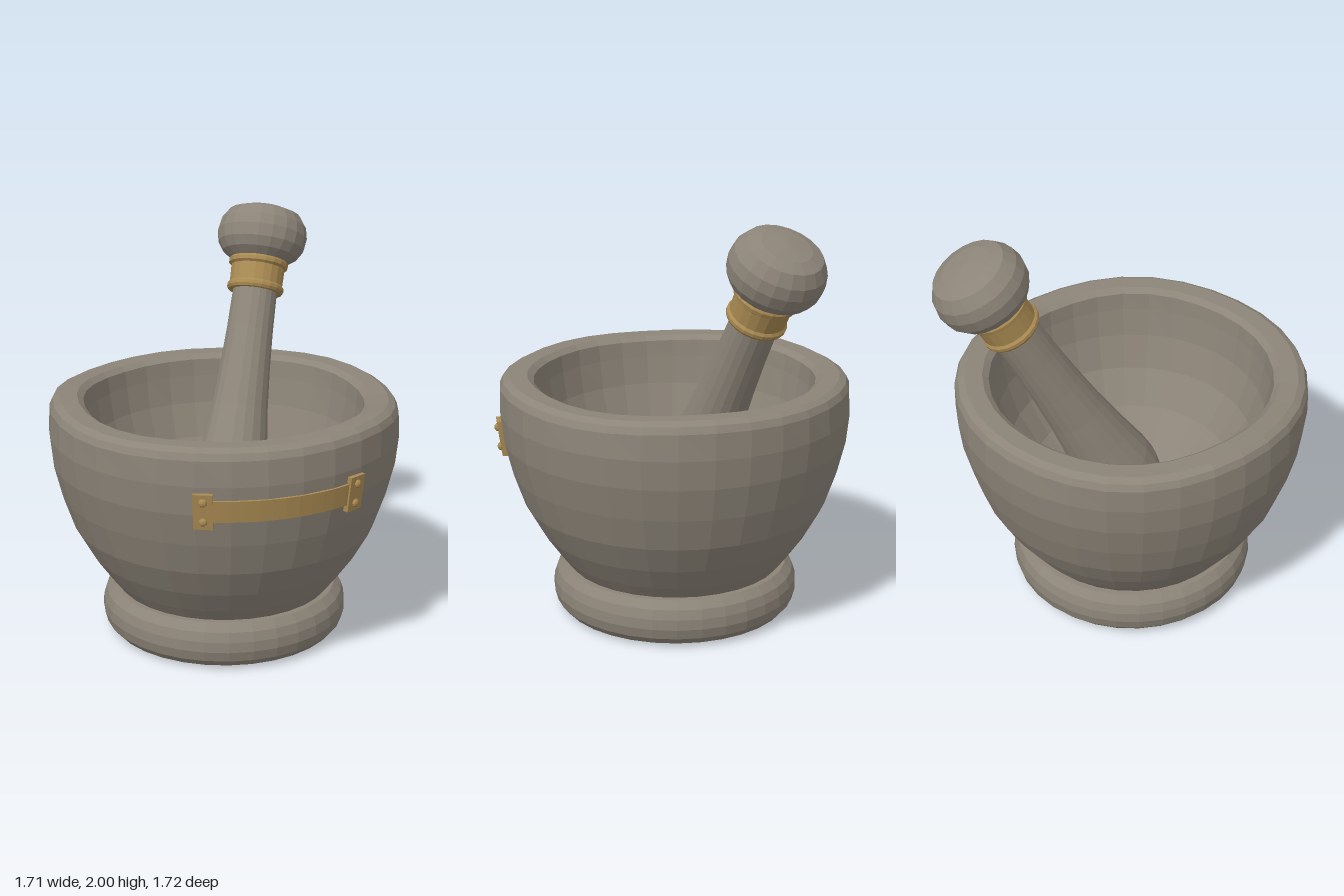
import * as THREE from 'three';

const stone = new THREE.MeshStandardMaterial({ color: 0x8c8478, flatShading: true });
const brass = new THREE.MeshStandardMaterial({ color: 0xa98a52, flatShading: true });

function addMesh(parent, name, geometry, material) {
  const mesh = new THREE.Mesh(geometry, material);
  mesh.name = name;
  parent.add(mesh);
  return mesh;
}

// Turned part from [radius, height] pairs
function turned(points, sides) {
  return new THREE.LatheGeometry(points.map(([r, y]) => new THREE.Vector2(r, y)), sides);
}

// Radius of the bowl wall around the brass strap
const wall = (y) => 0.836 + (y - 0.9) * 0.13;

// Plate wrapped around the bowl wall: centre angle, angular span, height, outer offset
function wrappedPlate(angle, span, height, offset, segments) {
  const g = new THREE.BoxGeometry(1, height, 1, segments, 1, 1);
  const p = g.attributes.position;
  for (let i = 0; i < p.count; i++) {
    const a = angle + p.getX(i) * span;
    const y = 0.906 + p.getY(i);
    const r = wall(y) + (p.getZ(i) > 0 ? offset : -0.02);
    p.setXYZ(i, Math.sin(a) * r, y, Math.cos(a) * r);
  }
  g.computeVertexNormals();
  return g;
}

function createMortar() {
  const mortar = new THREE.Group();
  mortar.name = 'mortar';
  mortar.position.set(-0.003, 0, -0.015);

  addMesh(mortar, 'foot', turned([
    [0, 0], [0.51, 0], [0.56, 0.015], [0.59, 0.05], [0.603, 0.1],
    [0.6, 0.15], [0.585, 0.195], [0.55, 0.232], [0.48, 0.235],
  ], 32), stone);

  // Outer wall, thick rim and hollow in one profile
  const bowl = turned([
    [0.49, 0.2], [0.52, 0.23], [0.575, 0.3], [0.66, 0.42], [0.738, 0.56],
    [0.793, 0.72], [0.833, 0.88], [0.848, 1.02], [0.843, 1.14], [0.828, 1.172],
    [0.795, 1.19], [0.71, 1.188], [0.68, 1.165], [0.672, 1.08], [0.65, 0.94],
    [0.595, 0.77], [0.49, 0.6], [0.35, 0.475], [0.19, 0.395], [0, 0.37],
  ], 32);
  // Hand-worn unevenness, strongest at the rim
  const p = bowl.attributes.position;
  for (let i = 0; i < p.count; i++) {
    const a = Math.atan2(p.getX(i), p.getZ(i));
    const w = THREE.MathUtils.smoothstep(p.getY(i), 0.95, 1.18);
    const bump = Math.sin(3 * a + 2.2) * 0.6 + Math.sin(5 * a + 0.7) * 0.4;
    const k = 1 + 0.005 * w * Math.sin(4 * a + 1);
    p.setXYZ(i, p.getX(i) * k, p.getY(i) + 0.01 * w * bump, p.getZ(i) * k);
  }
  bowl.computeVertexNormals();
  addMesh(mortar, 'bowl', bowl, stone);

  // Brass strap with a riveted plate at each end
  const strap = new THREE.Group();
  strap.name = 'strap';
  mortar.add(strap);
  const ends = [-0.045, -0.935];
  addMesh(strap, 'strapBand', wrappedPlate(-0.49, 0.89, 0.104, 0.008, 12), brass);
  for (const angle of ends) {
    addMesh(strap, 'strapPlate', wrappedPlate(angle, 0.105, 0.172, 0.018, 1), brass);
    for (const y of [0.858, 0.954]) {
      const rivet = addMesh(strap, 'rivet', new THREE.SphereGeometry(0.02, 8, 6), brass);
      const r = wall(y) + 0.018;
      rivet.position.set(Math.sin(angle) * r, y, Math.cos(angle) * r);
      rivet.rotation.y = angle;
      rivet.scale.z = 0.75;
    }
  }
  return mortar;
}

function createPestle() {
  const pestle = new THREE.Group();
  pestle.name = 'pestle';
  // Local y runs along the leaning axis; y = 0 lies at rim height
  pestle.position.set(0.34, 1.2, -0.19);
  pestle.quaternion.setFromUnitVectors(
    new THREE.Vector3(0, 1, 0), new THREE.Vector3(0.42, 0.883, -0.21).normalize());

  addMesh(pestle, 'shaft', turned([
    [0, -0.88], [0.08, -0.87], [0.145, -0.83], [0.185, -0.77], [0.198, -0.7],
    [0.193, -0.6], [0.168, -0.42], [0.142, -0.2], [0.127, 0], [0.117, 0.2],
    [0.112, 0.4], [0.115, 0.58],
  ], 20), stone);
  addMesh(pestle, 'knob', turned([
    [0.1, 0.54], [0.14, 0.56], [0.19, 0.595], [0.219, 0.64], [0.228, 0.7],
    [0.217, 0.755], [0.18, 0.81], [0.12, 0.832], [0, 0.845],
  ], 20), stone);
  addMesh(pestle, 'collar', turned([
    [0.105, 0.4], [0.136, 0.4], [0.144, 0.413], [0.144, 0.428], [0.134, 0.44],
    [0.136, 0.525], [0.149, 0.535], [0.151, 0.553], [0.143, 0.566], [0.105, 0.568],
  ], 20), brass);
  return pestle;
}

export function createModel() {
  const model = new THREE.Group();
  model.name = 'mortarAndPestle';
  model.add(createMortar(), createPestle());
  return model;
}
